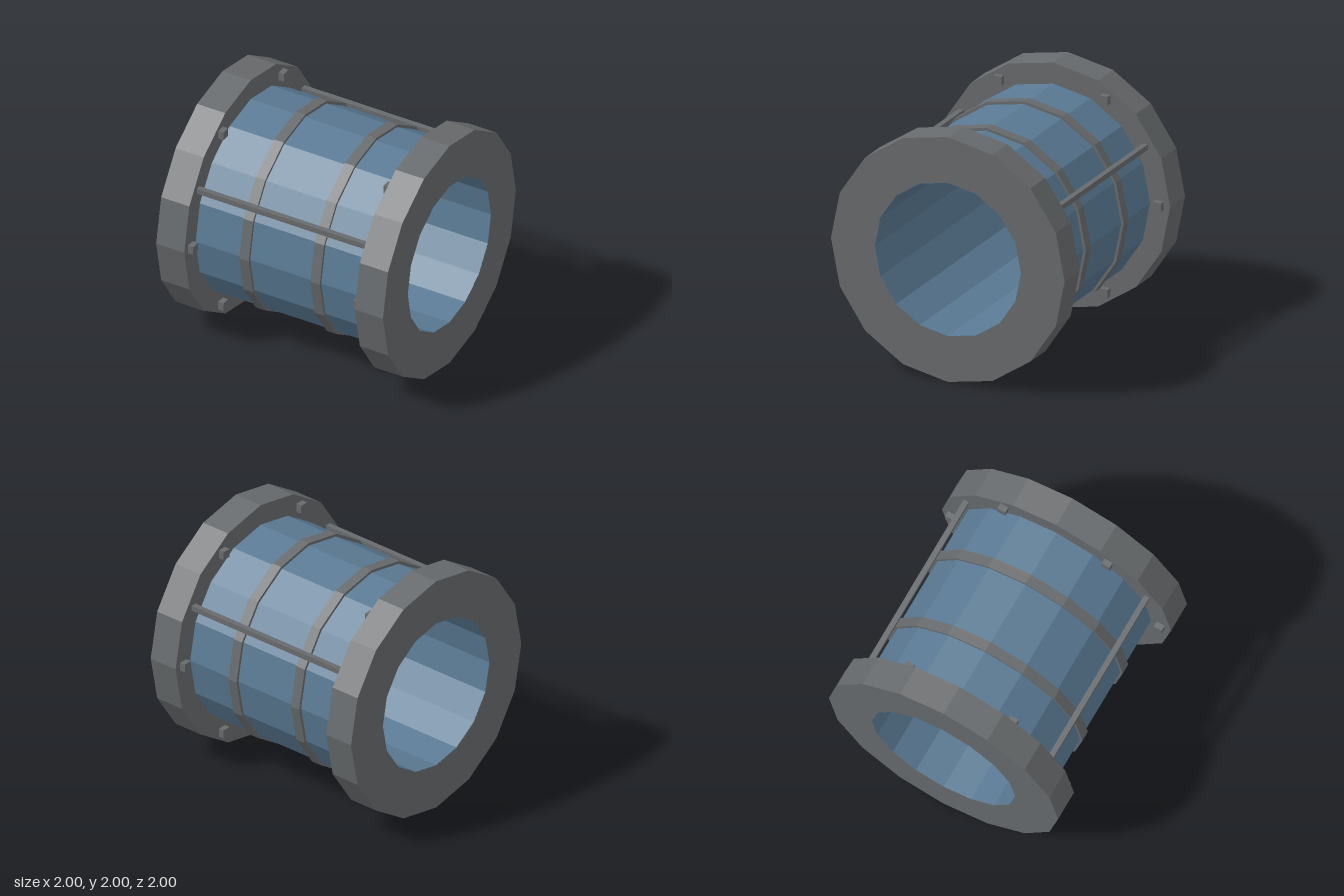
import * as THREE from 'three';

const SIDES = 16;

// Regular polygon outline with a vertex on each axis
function polygon(radius, Type) {
  const points = [];
  for (let i = 0; i < SIDES; i++) {
    const a = (i / SIDES) * Math.PI * 2;
    points.push(new THREE.Vector2(Math.cos(a) * radius, Math.sin(a) * radius));
  }
  return new Type(points);
}

// Hollow faceted ring along the x axis, centred on its own length
function ringGeometry(outer, inner, length) {
  const shape = polygon(outer, THREE.Shape);
  shape.holes.push(polygon(inner, THREE.Path));
  const geometry = new THREE.ExtrudeGeometry(shape, { depth: length, bevelEnabled: false });
  geometry.translate(0, 0, -length / 2);
  geometry.rotateY(Math.PI / 2);
  return geometry;
}

export function createModel() {
  const metal = new THREE.MeshStandardMaterial({ color: 0x686b6d, flatShading: true });
  metal.name = 'grey metal';
  const blue = new THREE.MeshStandardMaterial({ color: 0x5a7a94, flatShading: true });
  blue.name = 'blue wall';

  const model = new THREE.Group();
  model.name = 'pipeSection';

  function add(name, geometry, material, x, y = 0, z = 0) {
    const mesh = new THREE.Mesh(geometry, material);
    mesh.name = name;
    mesh.position.set(x, y + 1, z);
    model.add(mesh);
  }

  // Blue tube, its bore lining both flanges
  add('tube', ringGeometry(0.828, 0.625, 1.998), blue, 0);

  const flange = ringGeometry(1, 0.627, 0.248);
  const band = ringGeometry(0.85, 0.8, 0.084);
  const bolt = new THREE.BoxGeometry(0.05, 0.07, 0.07);
  const rod = new THREE.BoxGeometry(1.51, 0.044, 0.044);
  const orbit = 0.91;

  for (const side of [-1, 1]) {
    // End flange and reinforcing band
    add('flange', flange, metal, side * 0.876);
    add('band', band, metal, side * 0.313);

    // Six bolts on the inner face of the flange
    for (let i = 0; i < 6; i++) {
      const a = (i / 6) * Math.PI * 2;
      add('bolt', bolt, metal, side * 0.73, Math.sin(a) * orbit, Math.cos(a) * orbit);
    }
  }

  // Three tie rods between the flanges
  for (let i = 0; i < 3; i++) {
    const a = Math.PI / 6 + (i / 3) * Math.PI * 2;
    add('tieRod', rod, metal, 0, Math.sin(a) * orbit, Math.cos(a) * orbit);
  }

  return model;
}
